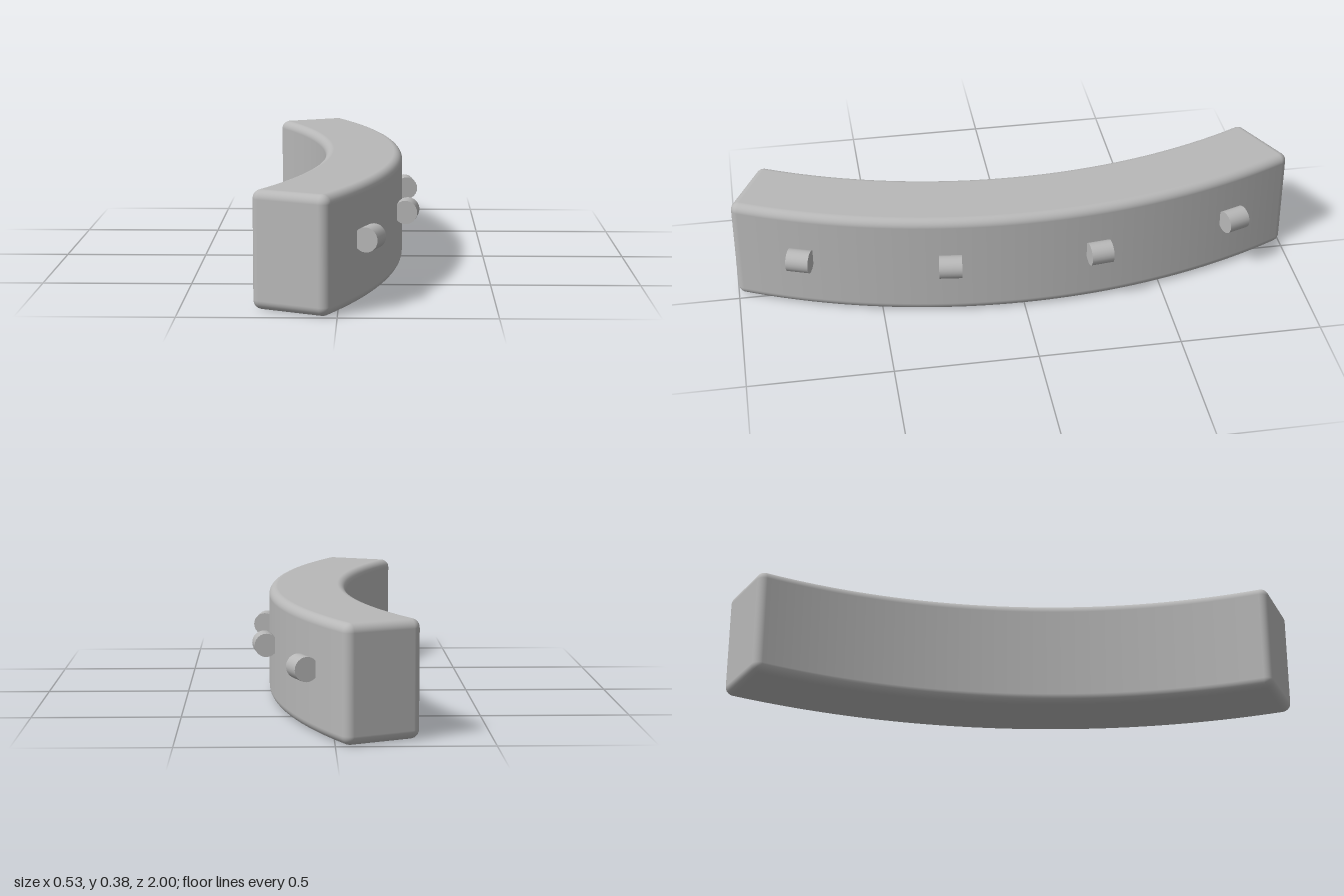
import * as THREE from 'three';

const CENTRE_X = -2.036;                 // axis of the arc
const OUTER = 2.244, INNER = 1.97;       // arc radii
const HALF_ANGLE = THREE.MathUtils.degToRad(26.75);
const HEIGHT = 0.382, BEVEL = 0.03;
const BEVEL_STEPS = 4;

// Position along one axis: tight steps over the bevels, even steps between
function axisPosition(t, half, steps) {
  const n = steps + 2 * BEVEL_STEPS;
  const i = Math.round((t + 0.5) * n);
  const inner = half - BEVEL;
  const bevel = (k) => inner + BEVEL * Math.tan((k / BEVEL_STEPS) * Math.PI / 4);
  if (i < BEVEL_STEPS) return -bevel(BEVEL_STEPS - i);
  if (i > n - BEVEL_STEPS) return bevel(i - n + BEVEL_STEPS);
  return -inner + 2 * inner * (i - BEVEL_STEPS) / steps;
}

// Rounded bar bent around a vertical axis
function bentBar() {
  const middle = (OUTER + INNER) / 2;
  const half = [(OUTER - INNER) / 2, HEIGHT / 2, HALF_ANGLE * middle];
  const steps = [2, 2, 48];
  const geometry = new THREE.BoxGeometry(1, 1, 1, ...steps.map((s) => s + 2 * BEVEL_STEPS));
  const position = geometry.attributes.position;
  const normal = geometry.attributes.normal;
  const up = new THREE.Vector3(0, 1, 0);
  const core = new THREE.Vector3(), out = new THREE.Vector3();

  for (let v = 0; v < position.count; v++) {
    for (let a = 0; a < 3; a++) {
      const p = axisPosition(position.getComponent(v, a), half[a], steps[a]);
      const limit = half[a] - BEVEL;
      const c = THREE.MathUtils.clamp(p, -limit, limit);
      core.setComponent(a, c);
      out.setComponent(a, p - c);
    }
    out.normalize();
    core.addScaledVector(out, BEVEL);
    const angle = core.z / middle, radius = middle + core.x;
    position.setXYZ(v, CENTRE_X + radius * Math.cos(angle), core.y + HEIGHT / 2, radius * Math.sin(angle));
    out.applyAxisAngle(up, -angle);
    normal.setXYZ(v, out.x, out.y, out.z);
  }
  return geometry;
}

export function createModel() {
  const model = new THREE.Group();
  model.name = 'curvedBar';
  const grey = new THREE.MeshStandardMaterial({ color: 0xb8b8b8 });
  grey.name = 'grey';

  const body = new THREE.Mesh(bentBar(), grey);
  body.name = 'body';
  model.add(body);

  // Short pegs lying along the outer face, one per quarter of the arc
  const pegGeometry = new THREE.CylinderGeometry(0.0405, 0.0405, 0.08, 24).rotateX(Math.PI / 2);
  const pegRadius = 2.273;
  [-3, -1, 1, 3].forEach((k, i) => {
    const angle = k * HALF_ANGLE / 4;
    const peg = new THREE.Mesh(pegGeometry, grey);
    peg.name = `peg${i + 1}`;
    peg.position.set(CENTRE_X + pegRadius * Math.cos(angle), 0.211, pegRadius * Math.sin(angle));
    peg.rotation.y = -angle;
    model.add(peg);
  });
  return model;
}
